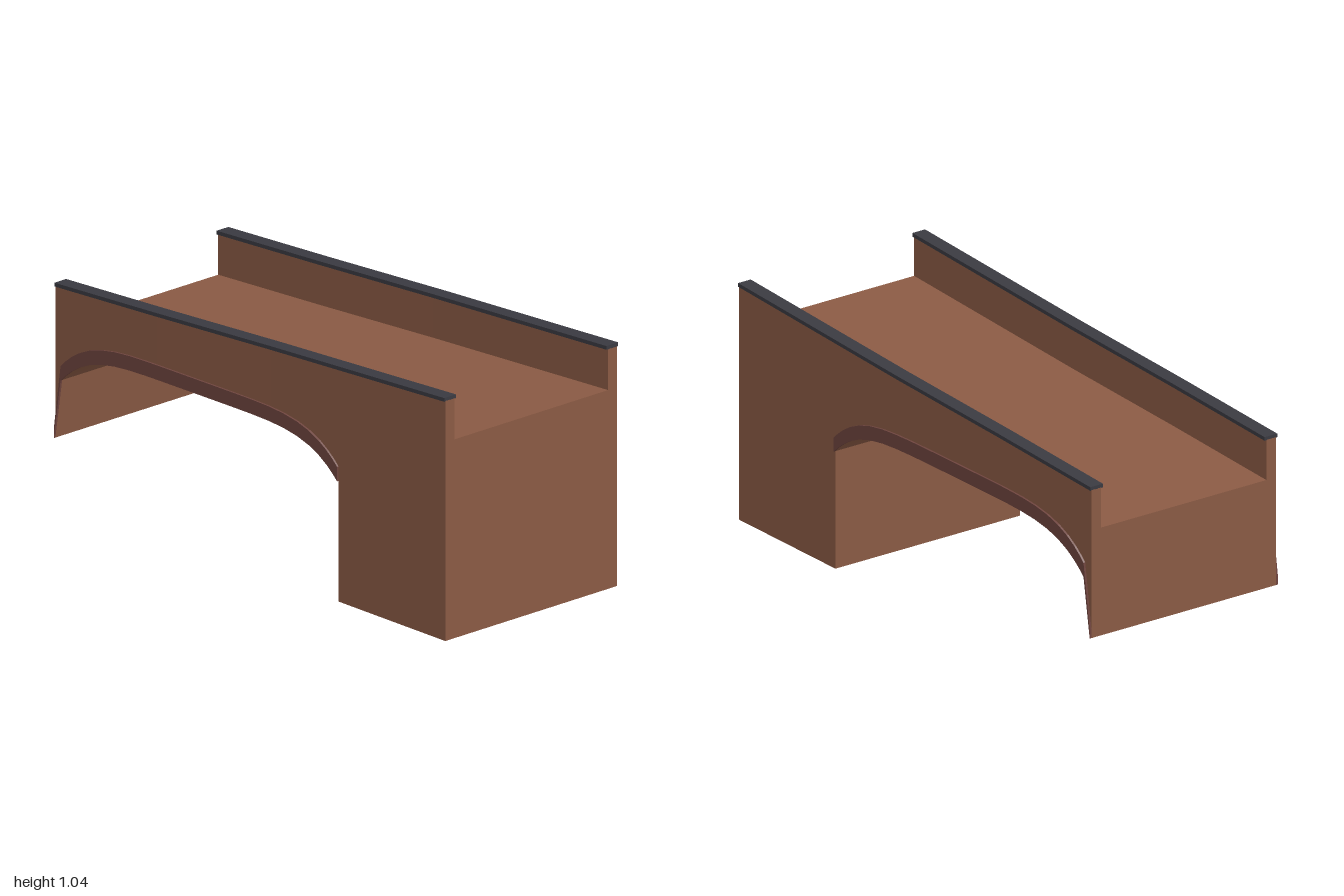
import * as THREE from 'three';

const brick = new THREE.MeshStandardMaterial({ name: 'brown brick', color: 0x8a5a44, flatShading: true });
const ringBrick = new THREE.MeshStandardMaterial({ name: 'dark red brick', color: 0x6e443e, flatShading: true });
const coping = new THREE.MeshStandardMaterial({ name: 'dark slate', color: 0x3a3a41, flatShading: true });

// The bridge runs skewed along z: centre line as [z, x]
const line = [[1, 0.19], [0.1, 0.025], [-0.48, -0.09], [-1, -0.187]];
function centre(z) {
  for (let i = 0; i < 3; i++) {
    const [z0, x0] = line[i], [z1, x1] = line[i + 1];
    if (z >= z1 - 1e-9) return x0 + (x1 - x0) * (z - z0) / (z1 - z0);
  }
  return line[3][1];
}
const deckY = (z) => 0.794 + 0.059 * z;

// Loft of rectangular cross-sections; stations are [z, bottom, top], front to back
function loft(name, stations, x0, x1, material) {
  const pos = [];
  const rings = stations.map(([z, lo, hi]) => {
    const c = centre(z);
    return [[c + x0, lo, z], [c + x1, lo, z], [c + x1, hi, z], [c + x0, hi, z]];
  });
  const quad = (a, b, c, d) => pos.push(...a, ...b, ...c, ...a, ...c, ...d);
  for (let i = 0; i < rings.length - 1; i++) {
    const f = rings[i], b = rings[i + 1];
    for (let k = 0; k < 4; k++) {
      const n = (k + 1) % 4;
      quad(f[k], b[k], b[n], f[n]);
    }
  }
  quad(...rings[0]);
  quad(...rings[rings.length - 1].slice().reverse());
  const g = new THREE.BufferGeometry();
  g.setAttribute('position', new THREE.Float32BufferAttribute(pos, 3));
  g.computeVertexNormals();
  const mesh = new THREE.Mesh(g, material);
  mesh.name = name;
  return mesh;
}

export function createModel() {
  const group = new THREE.Group();
  group.name = 'bridge';

  // Flattened arch between the pier and the far end
  const mid = -0.2575, half = 0.7075, rise = 0.155, spring = 0.518, ringDepth = 0.062;
  const archY = (z) => spring + rise * (1 - Math.pow(Math.min(1, Math.abs(z - mid) / half), 5.4));
  const archZ = [0.1, -0.48];
  for (let i = 0; i <= 24; i++) archZ.push(mid + half * Math.cos(Math.PI * i / 24));
  archZ.sort((a, b) => b - a);

  // Pier, span and thin far end wall in one body
  group.add(loft('pierAndSpan', [
    [1, 0, deckY(1)],
    [0.45, 0, deckY(0.45)],
    ...archZ.map((z) => [z, archY(z), deckY(z)]),
    [-1, 0.26, deckY(-1)],
  ], -0.425, 0.425, brick));

  // Arch ring, parapet and coping on each side
  const ring = [...archZ.map((z) => [z, archY(z), archY(z) + ringDepth]), [-1, 0.26, 0.3]];
  const nodes = line.map(([z]) => z);
  for (const [side, s] of [['left', 1], ['right', -1]]) {
    const add = (name, stations, inner, outer, material) => group.add(
      loft(side + name, stations, Math.min(s * inner, s * outer), Math.max(s * inner, s * outer), material));
    add('ArchRing', ring, 0.425, 0.433, ringBrick);
    add('Parapet', nodes.map((z) => [z, deckY(z), deckY(z) + 0.177]), 0.38, 0.425, brick);
    add('Coping', nodes.map((z) => [z, deckY(z) + 0.175, deckY(z) + 0.191]), 0.372, 0.43, coping);
  }
  return group;
}
